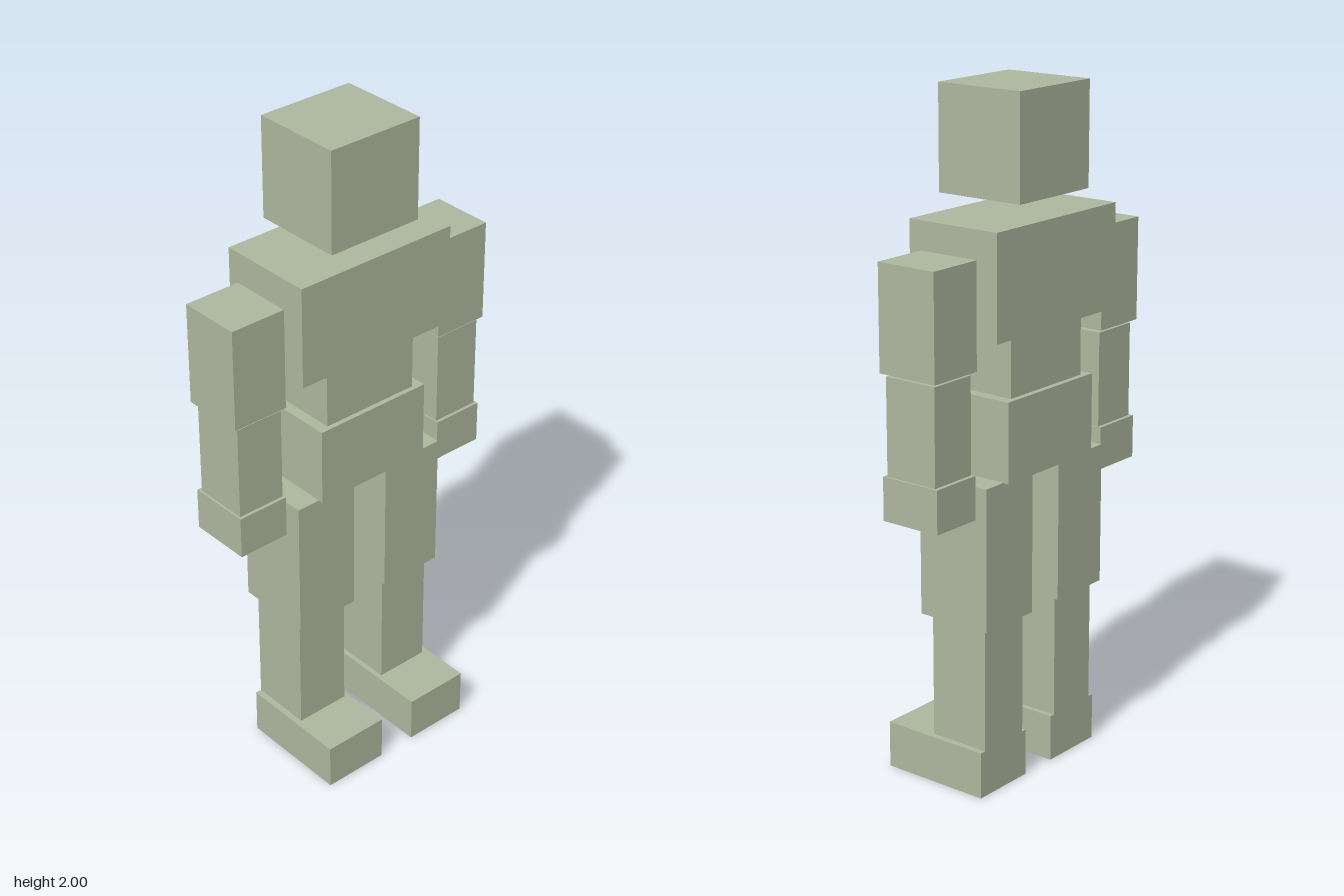
import * as THREE from 'three';

export function createModel() {
  const model = new THREE.Group();
  model.name = 'blockFigure';
  const sage = new THREE.MeshStandardMaterial({ color: 0xadb79e });
  sage.name = 'sage';

  // Box given by its extents along each axis
  function block(name, [x0, x1], [y0, y1], [z0, z1]) {
    const mesh = new THREE.Mesh(new THREE.BoxGeometry(x1 - x0, y1 - y0, z1 - z0), sage);
    mesh.position.set((x0 + x1) / 2, (y0 + y1) / 2, (z0 + z1) / 2);
    mesh.name = name;
    model.add(mesh);
  }

  // Head and torso, centred on x
  block('head', [-0.152, 0.152], [1.7, 2], [-0.19, 0.09]);
  block('chest', [-0.264, 0.264], [1.343, 1.645], [-0.202, 0.1]);
  block('waist', [-0.157, 0.157], [1.163, 1.343], [-0.165, 0.073]);
  block('pelvis', [-0.19, 0.19], [0.93, 1.163], [-0.182, 0.088]);

  // Limbs as seen on the left (+x), mirrored to the right
  const limbs = [
    ['UpperArm', [0.28, 0.454], [1.263, 1.567], [-0.146, 0.046]],
    ['Forearm', [0.29, 0.44], [0.972, 1.253], [-0.133, 0.036]],
    ['Hand', [0.286, 0.447], [0.845, 0.972], [-0.145, 0.046]],
    ['Thigh', [0.06, 0.264], [0.511, 0.931], [-0.165, 0.073]],
    ['Shin', [0.075, 0.245], [0.14, 0.506], [-0.143, 0.046]],
    ['Foot', [0.06, 0.264], [0, 0.14], [-0.143, 0.2]],
  ];
  for (const [name, [x0, x1], ys, zs] of limbs) {
    block('left' + name, [x0, x1], ys, zs);
    block('right' + name, [-x1, -x0], ys, zs);
  }
  return model;
}
